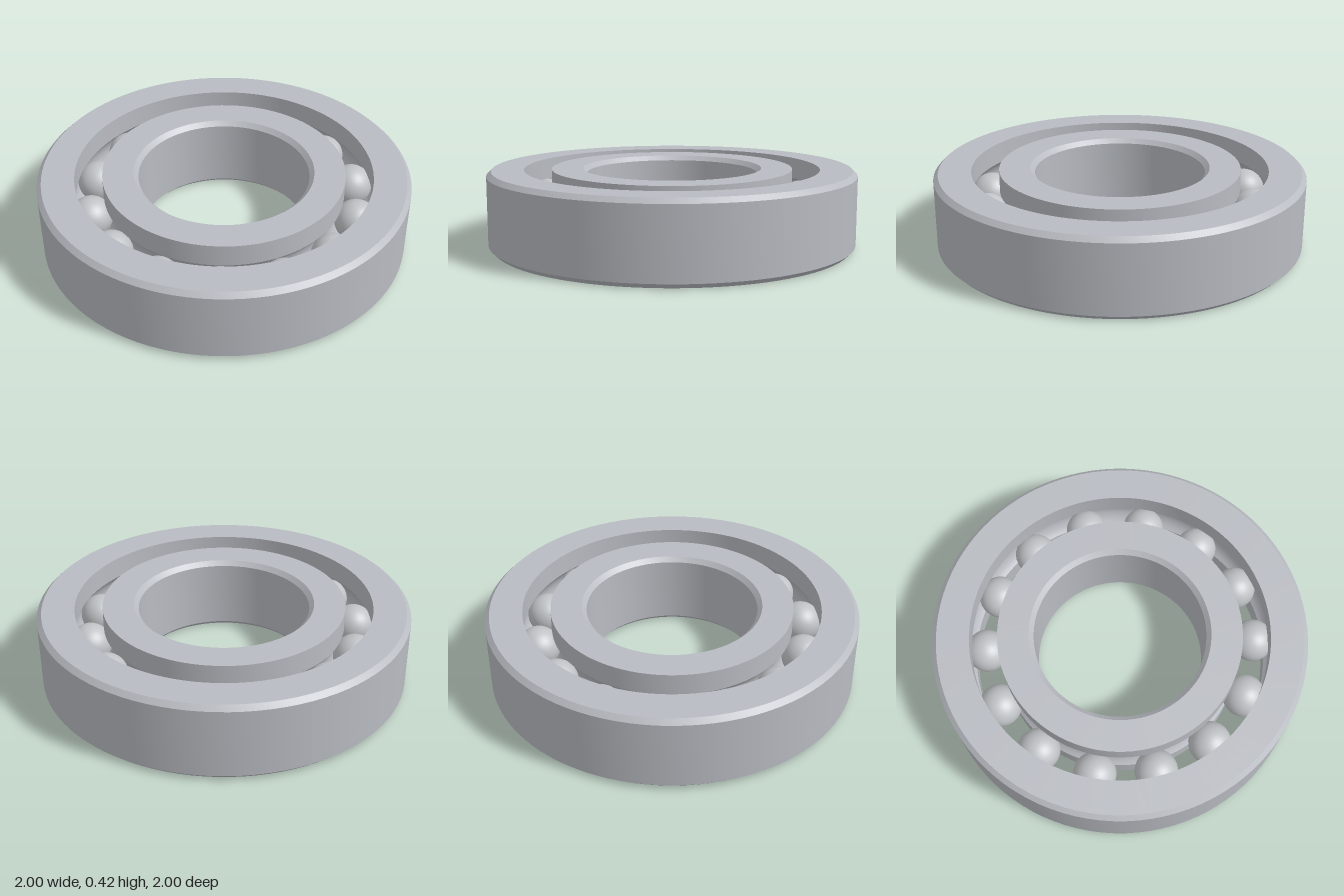
import * as THREE from 'three';
import { toCreasedNormals } from 'three/addons/utils/BufferGeometryUtils.js';

const HEIGHT = 0.42;
const MID = HEIGHT / 2;
const CHAMFER = 0.025;
const PITCH = 0.728;   // radius of the circle of ball centres
const BALL = 0.115;
const GROOVE = 0.117;  // radius of the raceway cross-section
const BALL_COUNT = 14;

// Raceway arc that bites into a cylindrical wall of the given radius
function raceway(wall, side, steps = 12) {
  const half = Math.acos(Math.abs(wall - PITCH) / GROOVE);
  return Array.from({ length: steps + 1 }, (_, i) => {
    const a = half * (1 - (2 * i) / steps);
    return [PITCH + side * GROOVE * Math.cos(a), MID + side * GROOVE * Math.sin(a)];
  });
}

// Closed counterclockwise profile turned around the y axis, with sharp edges kept
function turnedRing(name, profile, material) {
  const points = [...profile, profile[0]].map(([x, y]) => new THREE.Vector2(x, y));
  const geometry = toCreasedNormals(new THREE.LatheGeometry(points, 96), 0.5);
  const mesh = new THREE.Mesh(geometry, material);
  mesh.name = name;
  return mesh;
}

export function createModel() {
  const group = new THREE.Group();
  group.name = 'ballBearing';

  const steel = new THREE.MeshStandardMaterial({ color: 0xb8bbc1 });
  steel.name = 'steel';
  const polished = new THREE.MeshStandardMaterial({ color: 0xc0c3c6 });
  polished.name = 'polishedSteel';

  // Outer ring: chamfered outside, raceway on its inner wall
  const outer = 1, outerWall = 0.8;
  group.add(turnedRing('outerRing', [
    [outer - CHAMFER, 0], [outer, CHAMFER],
    [outer, HEIGHT - CHAMFER], [outer - CHAMFER, HEIGHT],
    [outerWall, HEIGHT], ...raceway(outerWall, 1), [outerWall, 0],
  ], steel));

  // Inner ring: raceway on its outer wall, chamfered bore
  const bore = 0.46, innerWall = 0.652;
  group.add(turnedRing('innerRing', [
    [innerWall, 0], ...raceway(innerWall, -1), [innerWall, HEIGHT],
    [bore + CHAMFER, HEIGHT], [bore, HEIGHT - CHAMFER],
    [bore, CHAMFER], [bore + CHAMFER, 0],
  ], steel));

  // Balls evenly spaced in the raceway
  const balls = new THREE.Group();
  balls.name = 'balls';
  const ballGeometry = new THREE.SphereGeometry(BALL, 32, 20);
  for (let i = 0; i < BALL_COUNT; i++) {
    const a = (i / BALL_COUNT) * Math.PI * 2;
    const ball = new THREE.Mesh(ballGeometry, polished);
    ball.name = `ball${i + 1}`;
    ball.position.set(PITCH * Math.cos(a), MID, PITCH * Math.sin(a));
    balls.add(ball);
  }
  group.add(balls);

  return group;
}
